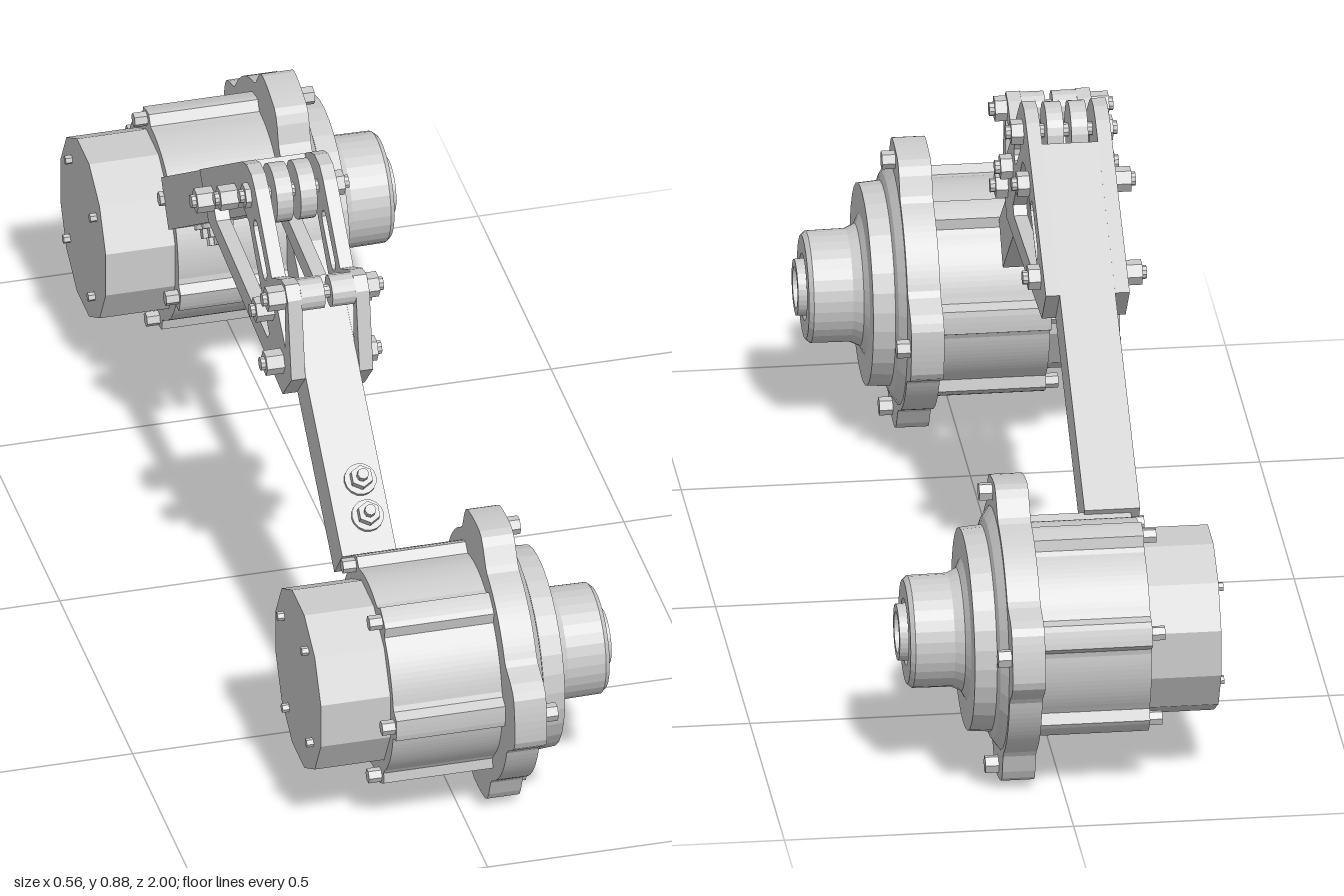
import * as THREE from 'three';

const mat = new THREE.MeshStandardMaterial({ color: 0xcccccc, flatShading: true, side: THREE.DoubleSide });
const V = (z, y) => new THREE.Vector2(z, y);
const XL = -0.064, XR = -0.16;          // inner faces of the two linkage plates

function mesh(name, geo) {
  const m = new THREE.Mesh(geo, mat);
  m.name = name;
  return m;
}

// Profile in the (z, y) plane, extruded along x from x0 to x1
function slab(name, points, x0, x1, holes = []) {
  const shape = new THREE.Shape(points);
  holes.forEach(h => shape.holes.push(new THREE.Path(h)));
  const m = mesh(name, new THREE.ExtrudeGeometry(shape, { depth: x1 - x0, bevelEnabled: false }));
  m.rotation.y = -Math.PI / 2;
  m.position.x = x1;
  return m;
}

// Cylinder lying along x
function rod(name, r, x0, x1, y, z, sides = 6) {
  const m = mesh(name, new THREE.CylinderGeometry(r, r, x1 - x0, sides));
  m.rotation.z = -Math.PI / 2;
  m.position.set((x0 + x1) / 2, y, z);
  return m;
}

// Rounded slot outline between two points
function slot(a, b, r) {
  const base = Math.atan2(b.y - a.y, b.x - a.x);
  return Array.from({ length: 12 }, (_, i) => {
    const c = i < 6 ? b : a;
    const t = base + (i < 6 ? -Math.PI / 2 : Math.PI / 2) + (i % 6) * Math.PI / 5;
    return V(c.x + r * Math.cos(t), c.y + r * Math.sin(t));
  });
}

// Round outline of radius r with n lobes that reach out by h
function lobed(r, h, n, offset, inner, outer) {
  const step = Math.PI * 2 / n;
  return Array.from({ length: 120 }, (_, i) => {
    const a = i / 120 * Math.PI * 2, k = (a - offset) / step;
    const d = Math.abs(k - Math.round(k)) * step;
    const rr = r + h * (1 - THREE.MathUtils.smoothstep(d, inner, outer));
    return V(rr * Math.cos(a), rr * Math.sin(a));
  });
}

// Motor and gearbox unit, axis along x
function driveUnit(name, z, tilt) {
  const g = new THREE.Group();
  g.name = name;
  g.position.set(0, 0.264, z);
  g.rotation.x = tilt;

  // Motor cover
  const cover = rod('motorCover', 0.161, -0.268, -0.14, 0, 0, 12);
  cover.geometry.rotateY(Math.PI / 12 - tilt);
  g.add(cover);

  // Gearbox body with screw ribs
  const off = -0.1;
  g.add(slab('gearboxBody', lobed(0.178, 0.02, 6, off, 0.1, 0.17), -0.145, 0.055));
  for (let i = 0; i < 6; i++) {
    const a = off + i * Math.PI / 3;
    g.add(rod('bodyScrew', 0.013, -0.168, -0.14, 0.182 * Math.sin(a), 0.182 * Math.cos(a)));
  }

  // Flange with a bolt in each lobe, and the screws in the cover
  g.add(slab('flange', lobed(0.22, 0.044, 4, 0, 0.16, 0.42), 0.048, 0.105));
  for (let i = 0; i < 4; i++) {
    const a = i * Math.PI / 2, c = a + 0.9;
    g.add(rod('flangeBolt', 0.016, 0.1, 0.128, 0.24 * Math.sin(a), 0.24 * Math.cos(a)));
    g.add(rod('coverScrew', 0.008, -0.28, -0.265, 0.12 * Math.sin(c), 0.12 * Math.cos(c)));
  }

  // Stepped output hub with a recessed bore
  const profile = [[0.212, 0.104], [0.192, 0.118], [0.178, 0.122], [0.175, 0.16], [0.122, 0.16],
    [0.106, 0.168], [0.098, 0.185], [0.097, 0.253], [0.09, 0.261], [0.058, 0.261], [0.05, 0.255],
    [0.049, 0.275], [0.036, 0.275], [0.034, 0.235], [0, 0.235]].map(p => V(...p));
  const hub = mesh('outputHub', new THREE.LatheGeometry(profile, 32));
  hub.rotation.z = -Math.PI / 2;
  g.add(hub);
  g.add(rod('shaftCore', 0.013, 0.23, 0.265, 0, 0));
  return g;
}

// Straight bar between two (z, y) points, with bolts on one face
function arm(name, a, b, width, boltAt) {
  const g = new THREE.Group();
  g.name = name;
  const d = b.clone().sub(a).normalize();
  const n = V(d.y, -d.x);
  const o = n.clone().multiplyScalar(width / 2);
  g.add(slab('bar', [a.clone().add(o), b.clone().add(o), b.clone().sub(o), a.clone().sub(o)], XR, XL));
  for (const t of boltAt) {
    const p = a.clone().lerp(b, t).add(o);
    const bolt = new THREE.Group();
    bolt.name = 'armBolt';
    const parts = [['washer', 0.028, 0.008, 16], ['nut', 0.02, 0.024, 6], ['stud', 0.01, 0.038, 8]];
    for (const [label, r, h, sides] of parts) {
      const m = mesh(label, new THREE.CylinderGeometry(r, r, h, sides));
      m.position.y = h / 2;
      bolt.add(m);
    }
    bolt.position.set(-0.103, p.y, p.x);
    bolt.quaternion.setFromUnitVectors(new THREE.Vector3(0, 1, 0), new THREE.Vector3(0, n.y, n.x));
    g.add(bolt);
  }
  return g;
}

// Bolt through both linkage plates, ending at xEnd on the nut side
function throughBolt(z, y, xEnd) {
  const g = new THREE.Group();
  g.name = 'throughBolt';
  g.add(rod('shank', 0.012, xEnd, -0.01, y, z, 10));
  g.add(rod('head', 0.022, -0.04, -0.019, y, z));
  g.add(rod('nut', 0.022, xEnd + 0.008, -0.185, y, z));
  return g;
}

export function createModel() {
  const model = new THREE.Group();
  model.name = 'wheelLeg';

  model.add(driveUnit('frontDrive', 0.738, -0.08));
  model.add(driveUnit('backDrive', -0.738, 0.19));

  // Both arms run straight in between the plates
  model.add(arm('frontArm', V(0.595, 0.391), V(0.208, 0.715), 0.086, [0.13, 0.26]));
  model.add(arm('backArm', V(-0.595, 0.385), V(0.02, 0.803), 0.091, [0.105, 0.185]));

  // Linkage plates with triangular windows and slots
  const outline = [V(0.37, 0.63), V(0.345, 0.775), V(0.325, 0.796), V(0.295, 0.79), V(0.235, 0.755),
    V(0.12, 0.863), V(0.095, 0.878), V(0.06, 0.878), V(0.03, 0.865), V(-0.26, 0.668), V(-0.2, 0.6), V(0.31, 0.565)];
  const windows = [
    [V(0.325, 0.755), V(0.268, 0.744), V(0.258, 0.73), V(0.33, 0.67)],
    [V(0.08, 0.772), V(0.04, 0.778), V(-0.16, 0.65), V(-0.145, 0.634), V(0.205, 0.615), V(0.218, 0.63)],
    slot(V(0.185, 0.738), V(0.128, 0.788), 0.017),
    slot(V(-0.055, 0.738), V(-0.12, 0.694), 0.018)
  ];
  model.add(slab('leftPlate', outline, XL, -0.04, windows));
  model.add(slab('rightPlate', outline, -0.185, XR, windows));

  // Hinge knuckles at the apex and the front joint
  for (const [x0, x1] of [[-0.148, -0.119], [-0.106, -0.077]])
    model.add(rod('apexKnuckle', 0.052, x0, x1, 0.826, 0.08, 24));
  for (const [x0, x1] of [[XR, -0.118], [-0.105, XL]])
    model.add(rod('frontKnuckle', 0.028, x0, x1, 0.767, 0.317, 16));

  const bolts = [[0.305, 0.63], [0.235, 0.695], [0.317, 0.768], [-0.01, 0.77], [-0.17, 0.665]];
  bolts.forEach(([z, y]) => model.add(throughBolt(z, y, -0.224)));
  model.add(throughBolt(0.08, 0.828, -0.203));
  return model;
}
